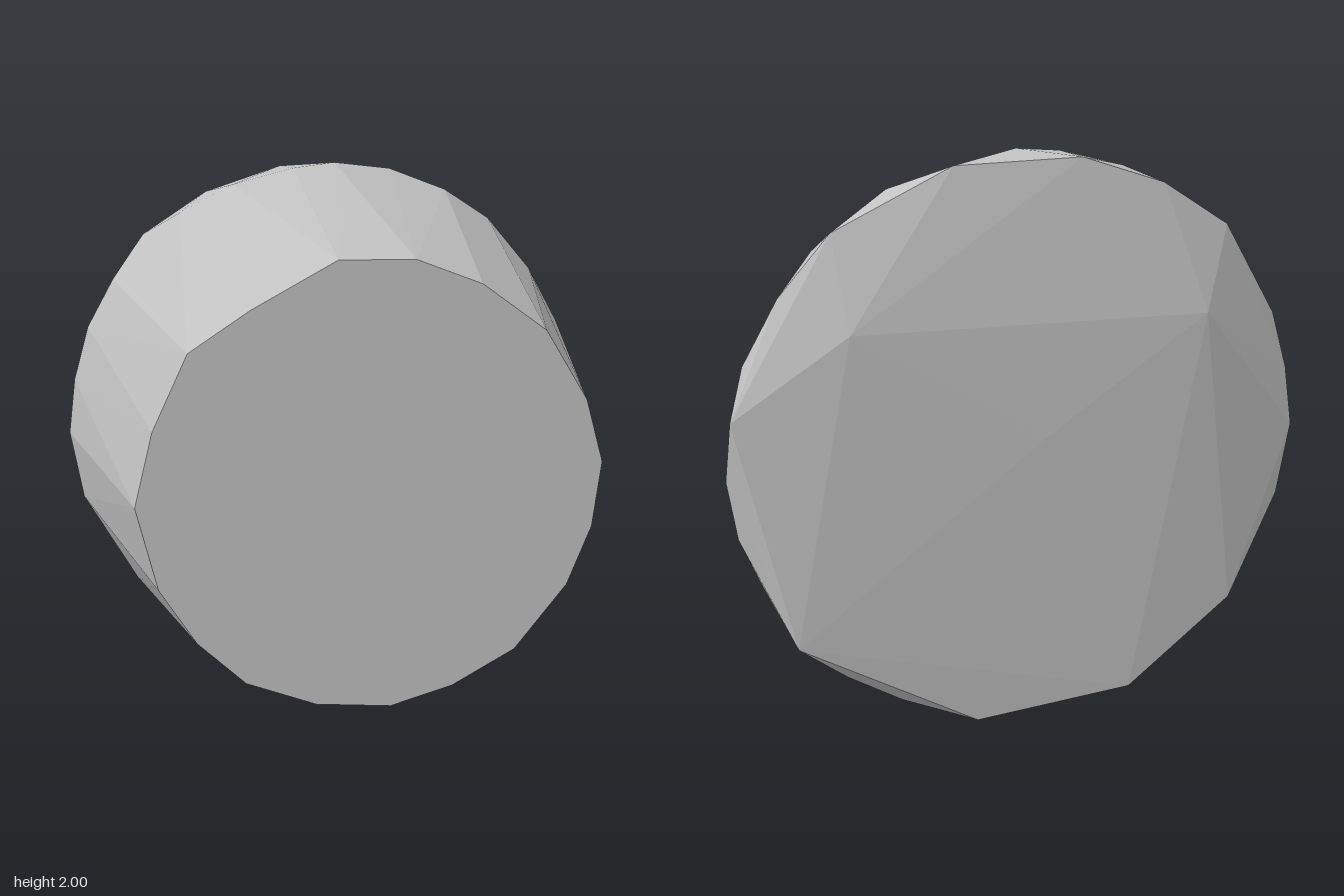
import * as THREE from 'three';
import { ConvexGeometry } from 'three/addons/geometries/ConvexGeometry.js';

export function createModel() {
  const model = new THREE.Group();
  model.name = 'facetedPlug';

  const grey = new THREE.MeshStandardMaterial({ color: 0xc0c0c0 });
  grey.name = 'grey';

  // Small flat front outline: x, y
  const frontZ = 0.525;
  const front = [
    [-0.12, 1.78], [0.13, 1.775], [0.35, 1.69], [0.57, 1.53], [0.72, 1.29],
    [0.785, 1.07], [0.76, 0.84], [0.68, 0.63], [0.5, 0.4], [0.28, 0.28],
    [0.06, 0.22], [-0.2, 0.25], [-0.44, 0.35], [-0.6, 0.51], [-0.72, 0.71],
    [-0.785, 1.0], [-0.72, 1.25], [-0.6, 1.5], [-0.4, 1.63],
  ];

  // Wide, uneven rim: x, y, z
  const rim = [
    [0.02, 2.0, -0.36], [0.25, 1.965, -0.465], [0.45, 1.89, -0.39], [0.64, 1.77, -0.45],
    [0.81, 1.57, -0.435], [0.93, 1.36, -0.44], [0.98, 1.19, -0.48], [1.0, 0.98, -0.43],
    [0.97, 0.77, -0.41], [0.9, 0.59, -0.39], [0.81, 0.42, -0.34], [0.8, 0.39, -0.5],
    [0.63, 0.23, -0.43], [0.44, 0.11, -0.42], [0.18, 0.02, -0.475], [0.04, 0.0, -0.32],
    [-0.14, 0.015, -0.35], [-0.38, 0.08, -0.485], [-0.58, 0.2, -0.42], [-0.77, 0.37, -0.45],
    [-0.96, 0.74, -0.4], [-1.0, 1.0, -0.4], [-0.97, 1.21, -0.39], [-0.91, 1.41, -0.385],
    [-0.81, 1.59, -0.36], [-0.69, 1.74, -0.45], [-0.56, 1.83, -0.325], [-0.45, 1.89, -0.475],
    [-0.36, 1.93, -0.325], [-0.14, 1.985, -0.325], [-0.17, 1.98, -0.475],
  ];

  // Shallow peak points of the back
  const back = [[-0.6, 1.46, -0.53], [0.6, 1.46, -0.53], [-0.04, 1.07, -0.533]];

  // The body is the convex skin around the three sections
  const points = [
    ...front.map(([x, y]) => new THREE.Vector3(x, y, frontZ)),
    ...[...rim, ...back].map((p) => new THREE.Vector3(...p)),
  ];
  const body = new THREE.Mesh(new ConvexGeometry(points), grey);
  body.name = 'body';
  model.add(body);
  return model;
}
